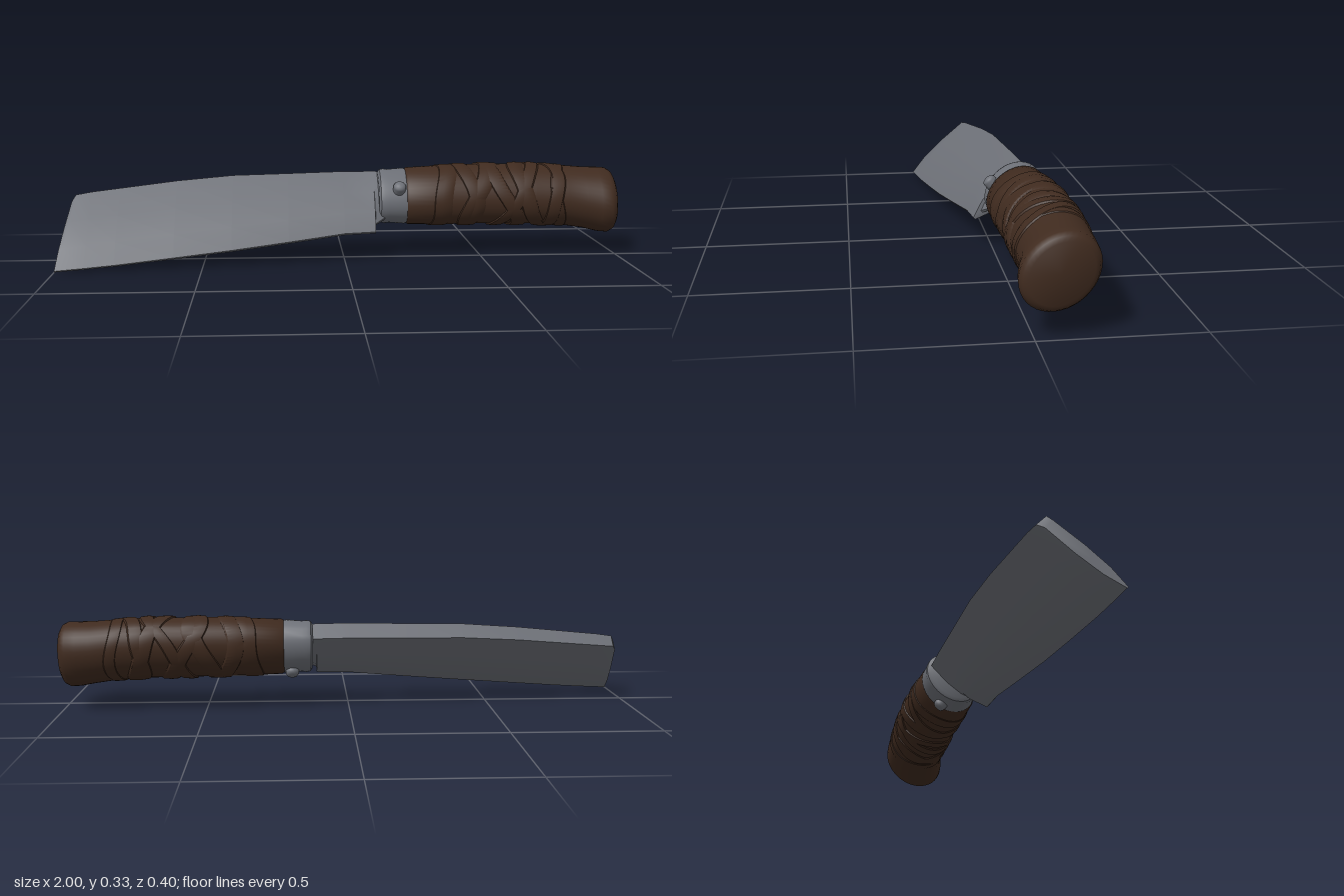
import * as THREE from 'three';
import { toCreasedNormals } from 'three/addons/utils/BufferGeometryUtils.js';

// Skin a row of closed rings running towards +x; each ring turns from +y to +z.
function loft(rings, crease, caps = true, closed = false) {
  const n = rings[0].length, pos = rings.flat(2), idx = [], m = rings.length;
  for (let i = 0; i < (closed ? m : m - 1); i++) {
    for (let j = 0; j < n; j++) {
      const k = (j + 1) % n, i2 = (i + 1) % m;
      const a = i * n + j, b = i * n + k, c = i2 * n + k, d = i2 * n + j;
      idx.push(a, b, c, a, c, d);
    }
  }
  if (caps) {
    [0, m - 1].forEach((r) => {
      const c = pos.length / 3;
      for (let k = 0; k < 3; k++) pos.push(rings[r].reduce((s, p) => s + p[k], 0) / n);
      for (let j = 0; j < n; j++) {
        const a = r * n + j, b = r * n + (j + 1) % n;
        if (r === 0) idx.push(c, b, a); else idx.push(c, a, b);
      }
    });
  }
  const g = new THREE.BufferGeometry();
  g.setAttribute('position', new THREE.Float32BufferAttribute(pos, 3));
  g.setIndex(idx);
  return toCreasedNormals(g, crease);
}

// Grip stations: x, centre y, centre z, half height, half thickness
const GRIP = [
  [0.225, 0, 0.016, 0.106, 0.082], [0.235, 0, 0.016, 0.113, 0.089],
  [0.36, 0.006, 0.012, 0.117, 0.094], [0.5, 0.013, 0.008, 0.118, 0.097],
  [0.7, 0.013, 0.006, 0.119, 0.098], [0.82, 0.009, 0, 0.118, 0.1],
  [0.89, 0.002, -0.004, 0.12, 0.103], [0.94, -0.008, -0.003, 0.127, 0.106],
  [0.975, -0.012, -0.002, 0.128, 0.106], [0.992, -0.012, -0.002, 0.118, 0.097],
  [1.0, -0.012, -0.002, 0.103, 0.083],
];

// Point on an oval station, pushed outwards by off
function oval([x, cy, cz, a, b], t, off = 0) {
  return [x, cy + (a + off) * Math.cos(t), cz + (b + off) * Math.sin(t)];
}
function gripAt(x) {
  let i = 0;
  while (i < GRIP.length - 2 && GRIP[i + 1][0] < x) i++;
  const f = (x - GRIP[i][0]) / (GRIP[i + 1][0] - GRIP[i][0]);
  return GRIP[i].map((v, k) => v + (GRIP[i + 1][k] - v) * f);
}
const ring = (s, n = 40) => Array.from({ length: n }, (_, j) => oval(s, j / n * Math.PI * 2));

// Leather band around the grip, leaning by amp towards the given angle
function strap(x0, width, amp, phase, height) {
  const profile = [[0.5, -0.006], [0.3, height * 0.7], [-0.1, height], [-0.42, height * 0.7], [-0.5, -0.006]];
  const rings = [];
  for (let i = 0; i < 56; i++) {
    const t = i / 56 * Math.PI * 2;
    const mid = x0 + amp * Math.cos(t - phase) + 0.006 * Math.sin(3 * t + x0 * 30);
    rings.push(profile.map(([f, off]) => oval(gripAt(mid + f * width), t, off)));
  }
  return loft(rings, 0.6, false, true);
}

// Blade stations: spine x, spine y, edge x, edge y, centre z, spine half thickness
const BLADE = [
  [-0.968, -0.05, -1.0, -0.34, 0.044, 0.019], [-0.955, -0.024, -0.985, -0.338, 0.044, 0.023],
  [-0.9, -0.012, -0.9, -0.329, 0.043, 0.025], [-0.8, 0.004, -0.8, -0.317, 0.042, 0.026],
  [-0.6, 0.036, -0.6, -0.288, 0.04, 0.028], [-0.4, 0.06, -0.4, -0.257, 0.037, 0.03],
  [-0.2, 0.071, -0.2, -0.22, 0.031, 0.031], [0, 0.082, 0, -0.182, 0.026, 0.032],
  [0.112, 0.086, 0.112, -0.172, 0.021, 0.032], [0.114, 0.086, 0.114, -0.135, 0.021, 0.032],
  [0.17, 0.086, 0.17, -0.09, 0.018, 0.032],
];
function bladeRing([xs, ys, xe, ye, z, h]) {
  // fraction from spine to edge, signed share of the thickness
  return [[0, -1], [0, 1], [0.4, 1.15], [0.74, 0.9], [1, 0.14], [1, -0.14], [0.74, -0.9], [0.4, -1.15]]
    .map(([f, s]) => [xs + (xe - xs) * f, ys + (ye - ys) * f, z + s * h]);
}

export function createModel() {
  const steel = new THREE.MeshStandardMaterial({ color: 0x6d7077 });
  steel.name = 'steel';
  const leather = new THREE.MeshStandardMaterial({ color: 0x402b1f });
  leather.name = 'brown leather';

  const model = new THREE.Group();
  model.name = 'knife';
  const knife = new THREE.Group();
  knife.name = 'tiltedKnife';
  knife.rotation.x = -47 * Math.PI / 180;
  knife.position.set(0, 0.2, -0.08);
  model.add(knife);

  const add = (name, geometry, material) => {
    const mesh = new THREE.Mesh(geometry, material);
    mesh.name = name;
    knife.add(mesh);
    return mesh;
  };

  add('blade', loft(BLADE.map(bladeRing), 0.45), steel);

  // Collar with a soft lip facing the blade
  const collar = [
    [0.128, 0, 0.016, 0.094, 0.068], [0.135, 0, 0.016, 0.106, 0.08], [0.15, 0, 0.016, 0.109, 0.083],
    [0.165, 0, 0.016, 0.107, 0.081], [0.22, 0, 0.016, 0.111, 0.086], [0.24, 0, 0.016, 0.106, 0.081],
  ];
  add('collar', loft(collar.map((s) => ring(s)), 0.7), steel);

  // Flat-domed rivet on each side of the collar, the front one standing prouder
  const dome = [[0.023, 0], [0.023, 0.026], [0.019, 0.033], [0.011, 0.037], [0, 0.038]]
    .map(([r, h]) => new THREE.Vector2(r, h));
  for (const [name, side, z] of [['frontRivet', 1, 0.084], ['backRivet', -1, -0.048]]) {
    const rivet = add(name, new THREE.LatheGeometry(dome, 20), steel);
    rivet.rotation.x = side * Math.PI / 2;
    rivet.position.set(0.2, -0.034, z);
  }

  add('grip', loft(GRIP.map((s) => ring(s)), 0.7), leather);

  // Wrapping: x, width, lean, lean angle, height
  const straps = [
    [0.36, 0.08, 0.02, 1.2, 0.004], [0.44, 0.07, 0.04, 2.6, 0.006],
    [0.5, 0.08, 0.05, 0.4, 0.006], [0.58, 0.07, 0.06, 3.6, 0.007],
    [0.63, 0.06, 0.07, 0.9, 0.007], [0.69, 0.07, 0.05, 4.4, 0.007],
    [0.75, 0.06, 0.035, 1.8, 0.006], [0.8, 0.05, 0.02, 5.2, 0.004],
  ];
  straps.forEach((s, i) => add('gripStrap' + (i + 1), strap(...s), leather));

  return model;
}
